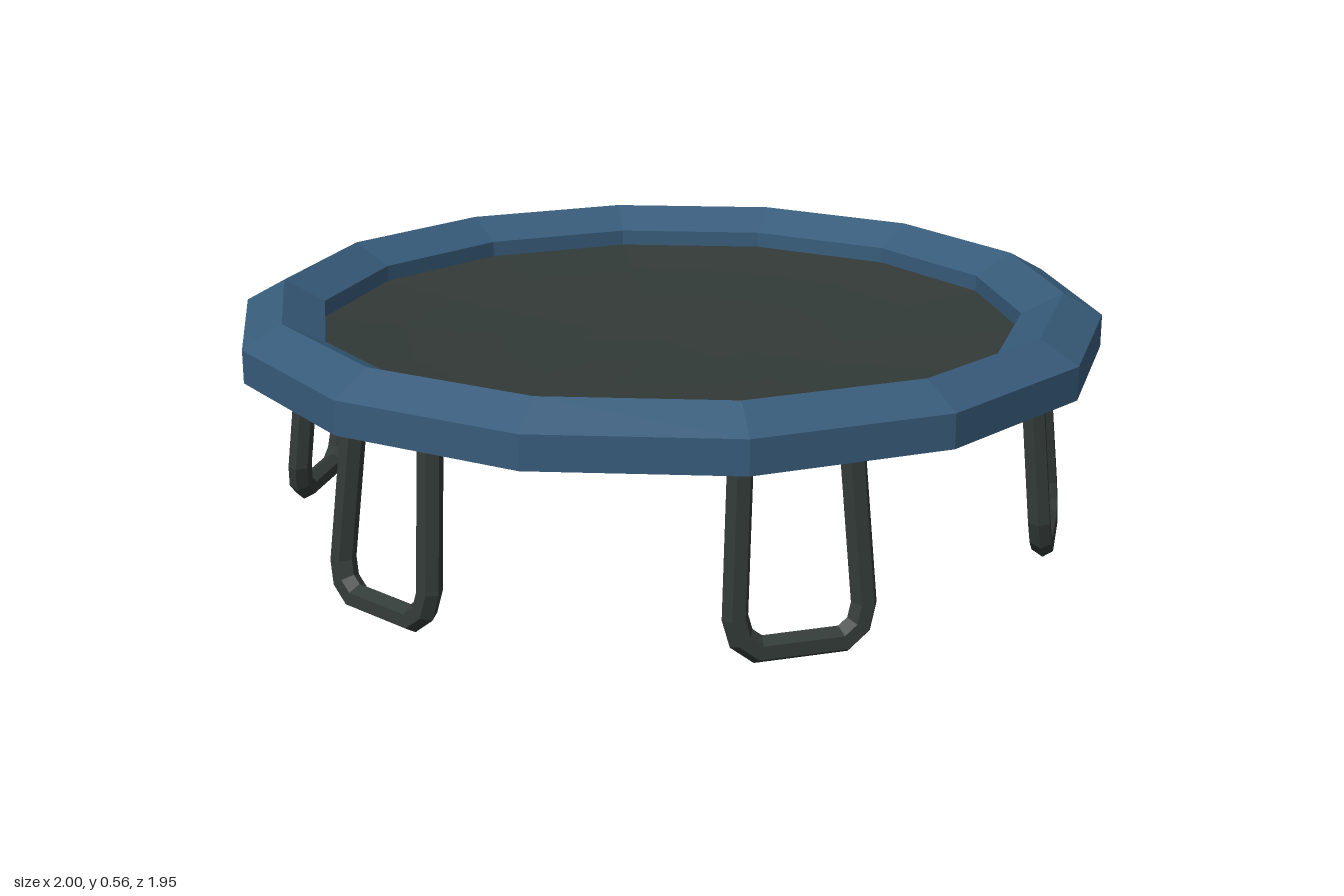
import * as THREE from 'three';

const SIDES = 14;
const LEGS = 6;

// Split faces so every facet gets its own normal
function faceted(geometry) {
  const g = geometry.index ? geometry.toNonIndexed() : geometry;
  g.computeVertexNormals();
  return g;
}

// Polygonal revolve with a corner on the x axis
function revolve(profile) {
  const points = profile.map(([r, y]) => new THREE.Vector2(r, y));
  return faceted(new THREE.LatheGeometry(points, SIDES, Math.PI / 2));
}

// Hexagonal tube swept along a U in the z/y plane, leaning outward toward +x at the foot
function legGeometry() {
  const half = [[0.117, 0.46], [0.139, 0.1], [0.127, 0.055], [0.092, 0.028]];
  const path = [...half, ...half.slice().reverse().map(([z, y]) => [-z, y])]
    .map(([z, y]) => new THREE.Vector2(z, y));
  const sides = 6, radius = 0.028;
  const positions = [], index = [];

  path.forEach((p, i) => {
    const before = p.clone().sub(path[Math.max(i - 1, 0)]).normalize();
    const after = path[Math.min(i + 1, path.length - 1)].clone().sub(p).normalize();
    const t = before.clone().add(after).normalize();
    const mitre = radius / t.dot(i === 0 ? after : before);
    for (let j = 0; j < sides; j++) {
      const a = (j / sides) * Math.PI * 2;
      const z = p.x - t.y * Math.cos(a) * mitre;
      const y = p.y + t.x * Math.cos(a) * mitre;
      positions.push(0.893 - 0.1 * y + Math.sin(a) * radius, y, z);
    }
  });

  for (let i = 0; i < path.length - 1; i++) {
    for (let j = 0; j < sides; j++) {
      const a = i * sides + j, c = i * sides + (j + 1) % sides;
      index.push(a, a + sides, c, a + sides, c + sides, c);
    }
  }
  const g = new THREE.BufferGeometry();
  g.setAttribute('position', new THREE.Float32BufferAttribute(positions, 3));
  g.setIndex(index);
  return faceted(g);
}

export function createModel() {
  const blue = new THREE.MeshStandardMaterial({ color: 0x375b7a });
  blue.name = 'blue padding';
  const dark = new THREE.MeshStandardMaterial({ color: 0x323a37, side: THREE.DoubleSide });
  dark.name = 'dark grey';

  const model = new THREE.Group();
  model.name = 'trampoline';
  const add = (name, geometry, material) => {
    const mesh = new THREE.Mesh(geometry, material);
    mesh.name = name;
    model.add(mesh);
    return mesh;
  };

  // Padded rim with a ridge along the top
  add('paddedRim', revolve([
    [1, 0.435], [1, 0.51], [0.91, 0.56], [0.815, 0.51], [0.815, 0.435], [1, 0.435],
  ]), blue);

  // Jumping mat, sagging slightly in the middle
  add('jumpingMat', revolve([
    [0.817, 0.472], [0.62, 0.45], [0.4, 0.437], [0.2, 0.43], [0, 0.428],
  ]), dark);

  // U-shaped legs around the rim
  const leg = legGeometry();
  for (let i = 0; i < LEGS; i++) {
    add(`leg${i + 1}`, leg, dark).rotation.y = (i / LEGS) * Math.PI * 2;
  }
  return model;
}
